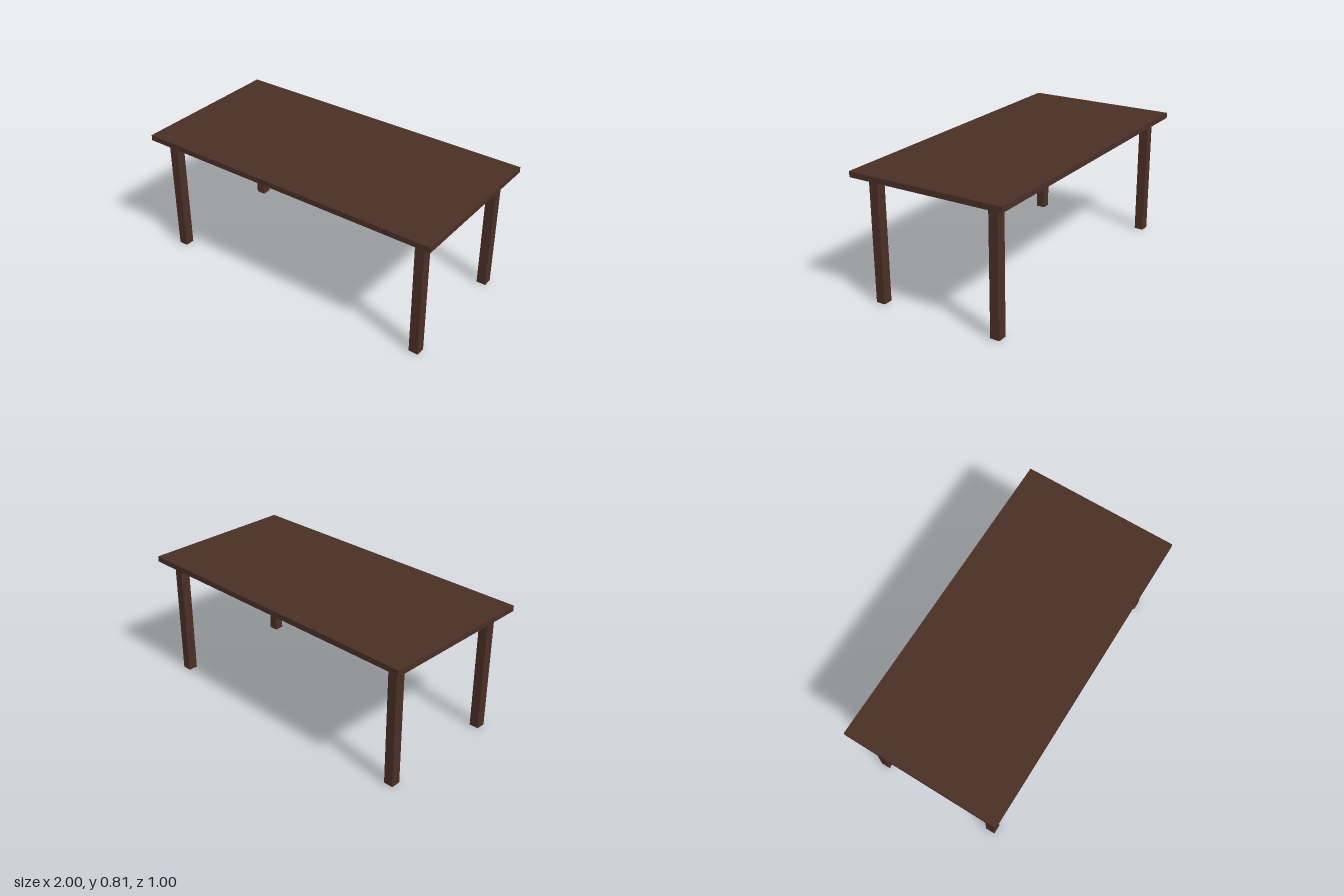
import * as THREE from 'three';
import { RoundedBoxGeometry } from 'three/addons/geometries/RoundedBoxGeometry.js';

const TOP_HEIGHT = 0.815, TOP_THICKNESS = 0.037;
const LEG_WIDTH = 0.062, LEG_X = 0.896, LEG_Z = 0.396;

export function createModel() {
  const table = new THREE.Group();
  table.name = 'table';
  const wood = new THREE.MeshStandardMaterial({ color: 0x4a2f26 });

  // Slab with softly eased edges
  const top = new THREE.Mesh(new RoundedBoxGeometry(2, TOP_THICKNESS, 1, 2, 0.003), wood);
  top.name = 'tableTop';
  top.position.y = TOP_HEIGHT - TOP_THICKNESS / 2;
  table.add(top);

  // Four square legs, inset from the corners
  const legHeight = TOP_HEIGHT - TOP_THICKNESS;
  const legGeometry = new RoundedBoxGeometry(LEG_WIDTH, legHeight, LEG_WIDTH, 2, 0.004);
  for (const [sz, end] of [[1, 'front'], [-1, 'back']]) {
    for (const [sx, side] of [[1, 'Left'], [-1, 'Right']]) {
      const leg = new THREE.Mesh(legGeometry, wood);
      leg.name = `${end}${side}Leg`;
      leg.position.set(sx * LEG_X, legHeight / 2, sz * LEG_Z);
      table.add(leg);
    }
  }
  return table;
}
